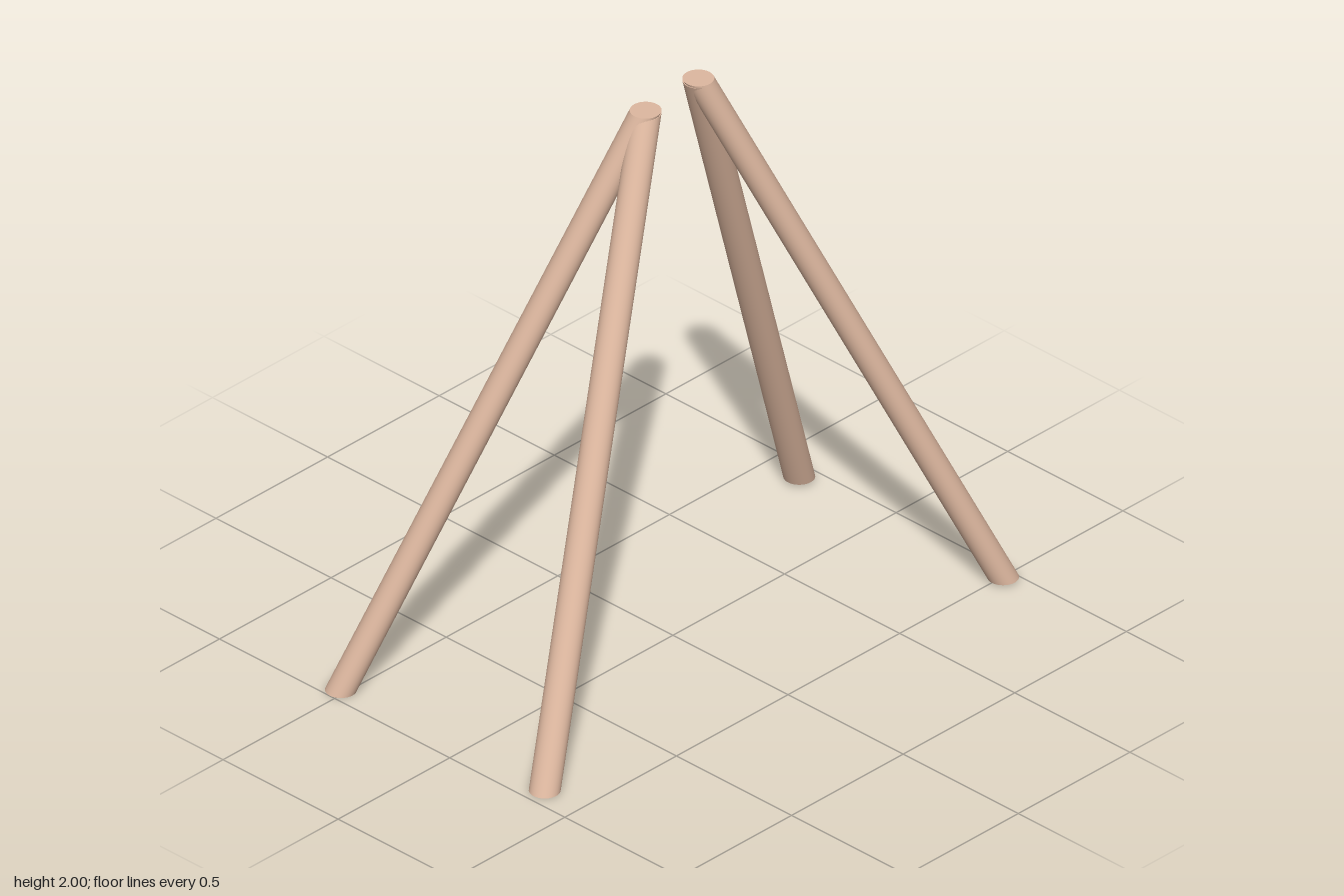
import * as THREE from 'three';

const RADIUS = 0.05;

// Slanted round leg: a cylinder sheared so both ends stay level.
function slantedLeg(name, top, foot, openFoot, material) {
  const leg = new THREE.Group();
  leg.name = name;
  const h = top.y - foot.y;
  const shear = new THREE.Matrix4().set(
    1, (top.x - foot.x) / h, 0, foot.x,
    0, 1, 0, foot.y,
    0, (top.z - foot.z) / h, 1, foot.z,
    0, 0, 0, 1
  );
  const tube = new THREE.CylinderGeometry(RADIUS, RADIUS, h, 32, 1, openFoot);
  tube.translate(0, h / 2, 0).applyMatrix4(shear);
  const shaft = new THREE.Mesh(tube, material);
  shaft.name = name + 'Shaft';
  leg.add(shaft);
  // The hollow leg is closed at the top only
  if (openFoot) {
    const disc = new THREE.CircleGeometry(RADIUS, 32);
    disc.rotateX(-Math.PI / 2).translate(top.x, top.y, top.z);
    const cap = new THREE.Mesh(disc, material);
    cap.name = name + 'TopCap';
    leg.add(cap);
  }
  return leg;
}

export function createModel() {
  const model = new THREE.Group();
  model.name = 'splayedLegs';
  const wood = new THREE.MeshStandardMaterial({ color: 0xdeb8a0, side: THREE.DoubleSide });

  // Two leg pairs, the second turned half around and set slightly lower
  for (const [side, s, y] of [['left', 1, 0.012], ['right', -1, 0]]) {
    const pair = new THREE.Group();
    pair.name = side + 'LegPair';
    const at = (x, h, z) => new THREE.Vector3(s * x, y + h, s * z - 0.004);
    const wide = s > 0 ? 'Front' : 'Back';
    const narrow = s > 0 ? 'Back' : 'Front';
    pair.add(
      slantedLeg(side + wide + 'Leg', at(0.118, 1.986, 0), at(0.949, 0, 0.518), true, wood),
      slantedLeg(side + narrow + 'Leg', at(0.118, 1.978, 0), at(0.929, 0, -0.348), false, wood)
    );
    model.add(pair);
  }
  return model;
}
